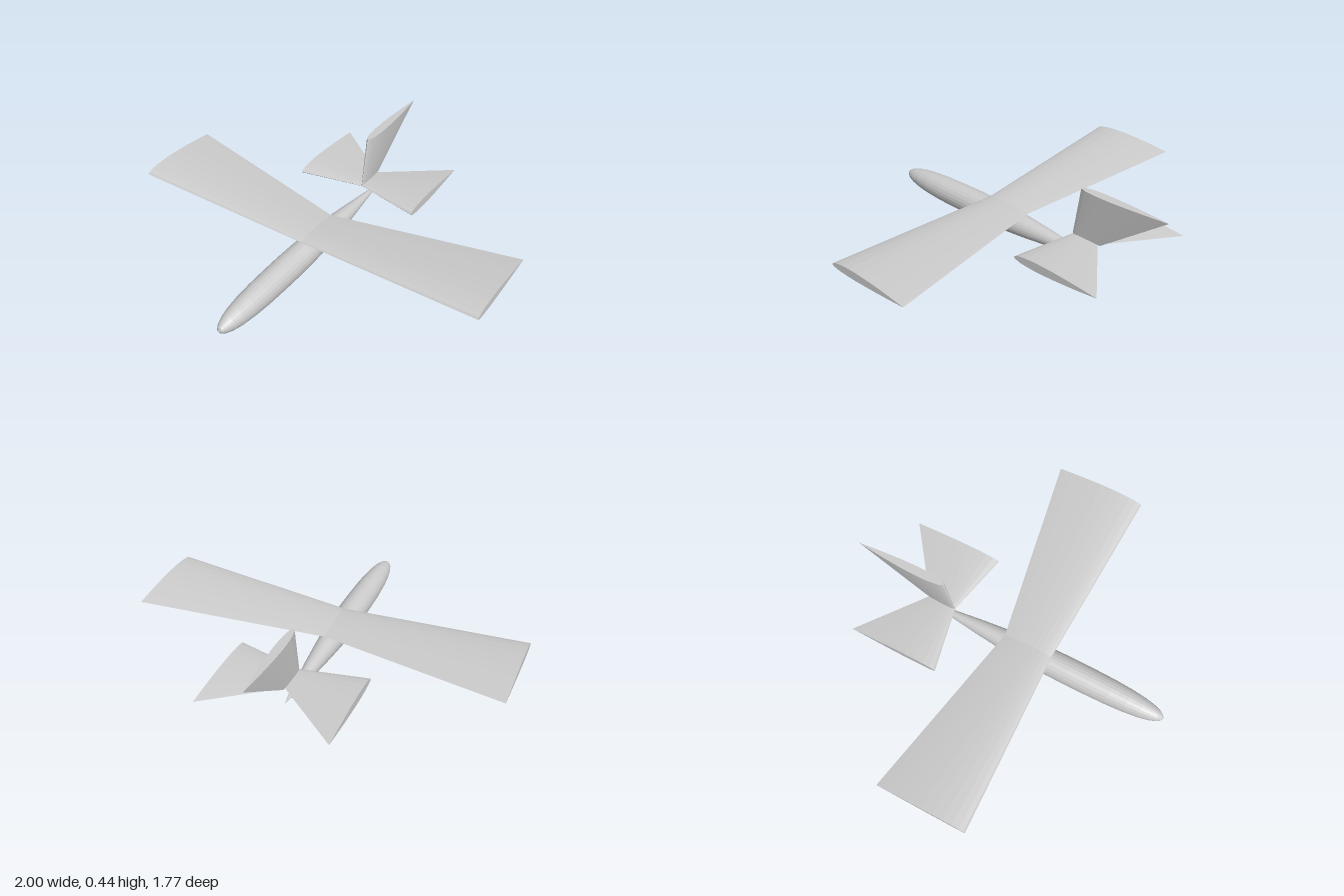
import * as THREE from 'three';

const grey = () => new THREE.MeshStandardMaterial({ color: 0xcccccc, flatShading: true });

// Closed airfoil loop of [chord fraction, height]: trailing edge, over the top, nose, back below
function airfoil(thickness, camber, n = 12) {
  const half = (u) => 5 * thickness *
    (0.2969 * Math.sqrt(u) - 0.126 * u - 0.3516 * u * u + 0.2843 * u ** 3 - 0.1036 * u ** 4);
  const mean = (u) => camber * (u < 0.4 ? (0.8 * u - u * u) / 0.16 : (0.2 + 0.8 * u - u * u) / 0.36);
  const at = (i) => (1 - Math.cos((Math.PI * i) / n)) / 2;
  const loop = [];
  for (let i = n; i >= 0; i--) loop.push([at(i), mean(at(i)) + half(at(i))]);
  for (let i = 1; i < n; i++) loop.push([at(i), mean(at(i)) - half(at(i))]);
  return loop;
}

// Skin an airfoil through span stations { x, y, front, back } and cap both ends
function loftSurface(name, foil, stations) {
  const n = foil.length;
  const positions = [];
  const index = [];
  for (const s of stations) {
    const chord = s.front - s.back;
    for (const [u, h] of foil) positions.push(s.x, s.y + h * chord, s.front - u * chord);
  }
  const last = (stations.length - 1) * n;
  for (let k = 0; k < last; k += n) {
    for (let j = 0; j < n; j++) {
      const a = k + j, b = k + ((j + 1) % n);
      index.push(a, b, b + n, a, b + n, a + n);
    }
  }
  for (let j = 1; j < n - 1; j++) {
    index.push(0, j + 1, j);
    index.push(last, last + j, last + j + 1);
  }
  const geometry = new THREE.BufferGeometry();
  geometry.setAttribute('position', new THREE.Float32BufferAttribute(positions, 3));
  geometry.setIndex(index);
  geometry.computeVertexNormals();
  const mesh = new THREE.Mesh(geometry, grey());
  mesh.name = name;
  return mesh;
}

// Left tip, root and right tip from one half
const mirrored = (root, tip) => [{ ...tip, x: -tip.x }, root, tip];

export function createModel() {
  const model = new THREE.Group();
  model.name = 'glider';

  // Fuselage: slim teardrop body, as [radius, z] from tail to nose
  const profile = [
    [0, -0.51], [0.013, -0.43], [0.024, -0.34], [0.041, -0.2], [0.056, -0.05], [0.066, 0.08],
    [0.072, 0.22], [0.0735, 0.34], [0.0725, 0.46], [0.07, 0.58], [0.064, 0.68], [0.055, 0.76],
    [0.044, 0.815], [0.031, 0.853], [0.017, 0.875], [0, 0.884],
  ].map(([r, z]) => new THREE.Vector2(r, z));
  const fuselage = new THREE.Mesh(new THREE.LatheGeometry(profile, 24).rotateX(Math.PI / 2), grey());
  fuselage.name = 'fuselage';
  fuselage.position.y = 0.0735;
  model.add(fuselage);

  // Main wing: slight dihedral, widening to the tips
  model.add(loftSurface('wing', airfoil(0.094, 0.01), mirrored(
    { x: 0, y: 0.157, front: 0.23, back: -0.042 },
    { x: 1, y: 0.206, front: 0.272, back: -0.222 })));

  // Tailplane and fin share a symmetric section
  const tailFoil = airfoil(0.098, 0);
  model.add(loftSurface('tailplane', tailFoil, mirrored(
    { x: 0, y: 0.166, front: -0.343, back: -0.5 },
    { x: 0.35, y: 0.166, front: -0.268, back: -0.765 })));

  // Fin: lofted along x, then turned upright
  const fin = loftSurface('fin', tailFoil, [
    { x: 0.166, y: 0, front: -0.343, back: -0.515 },
    { x: 0.443, y: 0, front: -0.387, back: -0.884 },
  ]);
  fin.rotation.z = Math.PI / 2;
  model.add(fin);

  return model;
}
